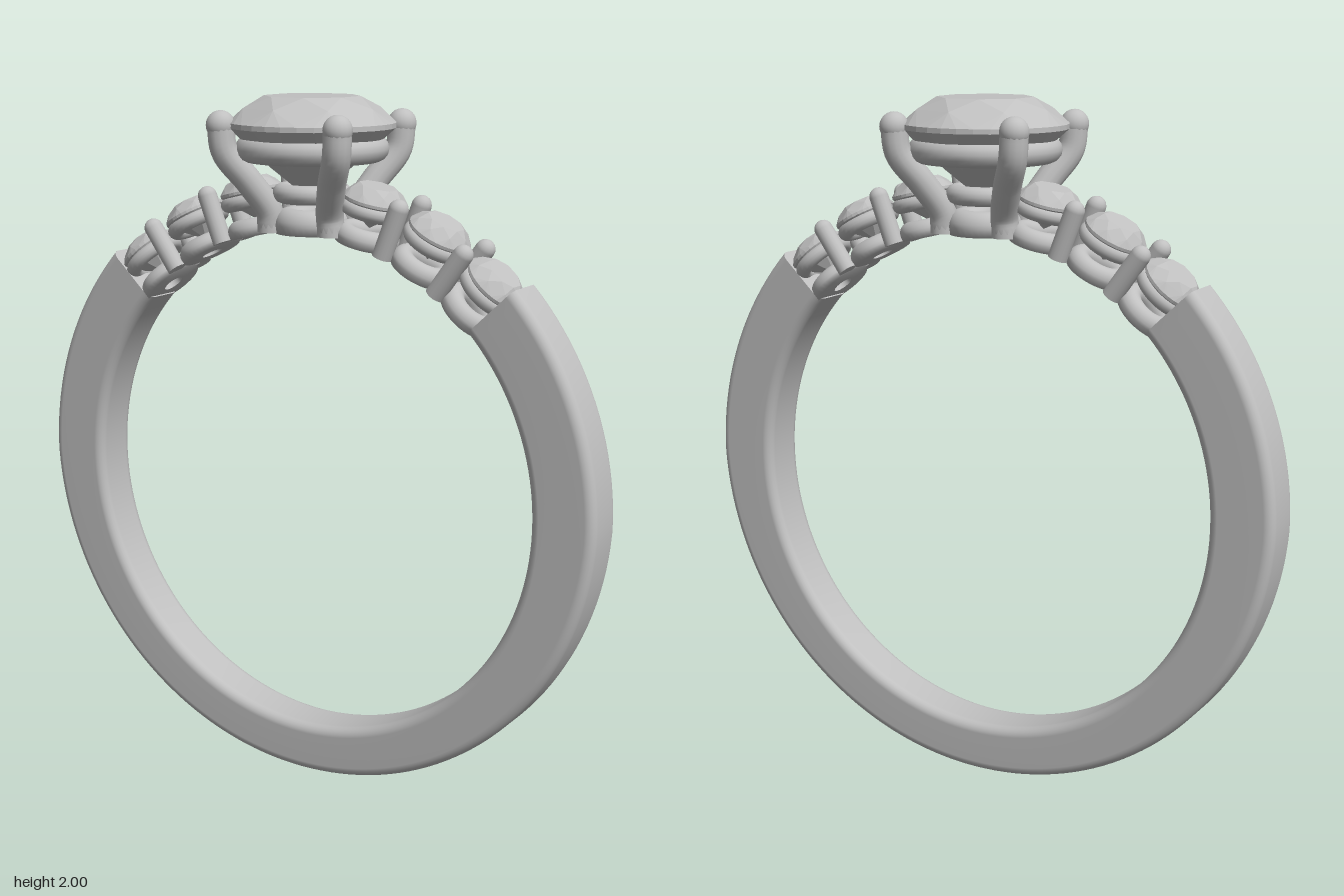
import * as THREE from 'three';
import { ConvexGeometry } from 'three/addons/geometries/ConvexGeometry.js';

const CENTER_Y = 0.885; // centre of the finger hole
const INNER = 0.735;
const rad = THREE.MathUtils.degToRad;

export function createModel() {
  const ring = new THREE.Group();
  ring.name = 'ring';
  const grey = new THREE.MeshStandardMaterial({ color: 0xc0c0c0 });
  grey.name = 'silver grey';

  function add(parent, name, geometry, x = 0, y = 0, z = 0) {
    const mesh = new THREE.Mesh(geometry, grey);
    mesh.name = name;
    mesh.position.set(x, y, z);
    parent.add(mesh);
    return mesh;
  }

  // Brilliant-cut stone: octagonal table, kite points, girdle and culet
  function stoneGeometry(r, crown, girdle, pavilion) {
    const pts = [new THREE.Vector3(0, -pavilion, 0)];
    const loop = (n, radius, y, offset) => {
      for (let i = 0; i < n; i++) {
        const a = ((i + offset) / n) * Math.PI * 2;
        pts.push(new THREE.Vector3(Math.cos(a) * radius, y, Math.sin(a) * radius));
      }
    };
    loop(8, r * 0.58, crown, 0.5);
    loop(8, r * 0.83, crown * 0.56, 0);
    loop(32, r, 0, 0);
    loop(32, r, -girdle, 0);
    loop(8, r * 0.5, -girdle - (pavilion - girdle) * 0.54, 0);
    return new ConvexGeometry(pts);
  }

  function torus(R, tube) {
    return new THREE.TorusGeometry(R, tube, 14, 40).rotateX(Math.PI / 2);
  }

  // Ring with a flat underside and a rounded top
  function collar(inner, outer, height) {
    const mid = (inner + outer) / 2, half = (outer - inner) / 2;
    const pts = [new THREE.Vector2(inner, 0), new THREE.Vector2(outer - 0.004, 0)];
    for (let i = 0; i <= 12; i++) {
      const a = (i / 12) * Math.PI;
      pts.push(new THREE.Vector2(mid + half * Math.cos(a), height * (0.35 + 0.65 * Math.sin(a))));
    }
    pts.push(new THREE.Vector2(inner, 0));
    return new THREE.LatheGeometry(pts, 36);
  }

  // Band: rounded section swept round the finger, thinner at the bottom
  function bandGeometry() {
    const steps = 120, start = rad(136.3), end = rad(403.7);
    const halfWidth = 0.074, corner = 0.028;
    const pos = [], index = [];
    const section = (t) => {
      const outer = 0.885 + 0.038 * Math.min(1, 1 + Math.sin(t));
      const pts = [];
      for (let q = 0; q < 4; q++) {
        const r0 = q === 0 || q === 3 ? outer - corner : INNER + corner;
        const z0 = q < 2 ? halfWidth - corner : corner - halfWidth;
        for (let k = 0; k <= 5; k++) {
          const a = (q + k / 5) * Math.PI / 2;
          const r = r0 + corner * Math.cos(a);
          pts.push([r * Math.cos(t), r * Math.sin(t), z0 + corner * Math.sin(a)]);
        }
      }
      return pts;
    };
    const n = 24;
    for (let i = 0; i <= steps; i++) {
      for (const p of section(start + (end - start) * i / steps)) pos.push(...p);
    }
    for (let i = 0; i < steps; i++) {
      for (let j = 0; j < n; j++) {
        const a = i * n + j, b = i * n + (j + 1) % n;
        index.push(a, a + n, b, b, a + n, b + n);
      }
    }
    // flat end caps with their own vertices
    for (const [t, flip] of [[start, false], [end, true]]) {
      const base = pos.length / 3;
      for (const p of section(t)) pos.push(...p);
      for (let k = 1; k < n - 1; k++) {
        if (flip) index.push(base, base + k + 1, base + k);
        else index.push(base, base + k, base + k + 1);
      }
    }
    const g = new THREE.BufferGeometry();
    g.setAttribute('position', new THREE.Float32BufferAttribute(pos, 3));
    g.setIndex(index);
    g.computeVertexNormals();
    return g;
  }
  add(ring, 'band', bandGeometry(), 0, CENTER_Y, 0);

  // Group turned about the finger hole, its local y pointing outward
  function radialGroup(name, degrees) {
    const g = new THREE.Group();
    g.name = name;
    g.position.y = CENTER_Y;
    g.rotation.z = -rad(degrees);
    ring.add(g);
    return g;
  }

  // Shoulders: three small stones a side with shared prongs between them
  const smallStone = stoneGeometry(0.091, 0.036, 0.008, 0.085);
  const upperRing = torus(0.074, 0.022);
  const lowerRing = collar(0.03, 0.092, 0.052);
  for (const side of [-1, 1]) {
    for (const angle of [13.8, 28.3, 42.2]) {
      const setting = radialGroup('sideSetting', side * angle);
      add(setting, 'sideStone', smallStone, 0, 0.868, 0);
      add(setting, 'upperCupRing', upperRing, 0, 0.838, 0);
      add(setting, 'lowerCupRing', lowerRing, 0, 0.737, 0);
    }
    for (const angle of [21, 35.6]) {
      const pair = radialGroup('sideProngs', side * angle);
      for (const z of [-0.064, 0.064]) {
        add(pair, 'sideProng', new THREE.CylinderGeometry(0.028, 0.028, 0.142, 16), 0, 0.813, z);
        add(pair, 'sideProngTip', new THREE.SphereGeometry(0.028, 16, 10), 0, 0.884, z);
      }
    }
  }

  // Head: large stone above stacked gallery rings
  const head = new THREE.Group();
  head.name = 'head';
  ring.add(head);
  add(head, 'centreStone', stoneGeometry(0.235, 0.072, 0.014, 0.22), 0, 1.928, 0);
  add(head, 'galleryRing', torus(0.18, 0.036), 0, 1.856, 0);
  add(head, 'middleRing', torus(0.085, 0.027), 0, 1.732, 0);
  add(head, 'baseRing', collar(0.03, 0.108, 0.07), 0, 1.62, 0);

  // Four curved claws
  for (const sx of [-1, 1]) {
    for (const sz of [-1, 1]) {
      const path = new THREE.CatmullRomCurve3([
        [0.1, 1.64, 0.06], [0.1, 1.68, 0.066], [0.136, 1.765, 0.115],
        [0.182, 1.85, 0.165], [0.19, 1.922, 0.172],
      ].map(([x, y, z]) => new THREE.Vector3(x * sx, y, z * sz)));
      add(head, 'claw', new THREE.TubeGeometry(path, 24, 0.039, 14));
      add(head, 'clawTip', new THREE.SphereGeometry(0.041, 18, 12), 0.19 * sx, 1.922, 0.172 * sz);
      add(head, 'clawFoot', new THREE.CylinderGeometry(0.039, 0.039, 0.03, 16),
        0.1 * sx, 1.637, 0.06 * sz);
    }
  }
  return ring;
}
